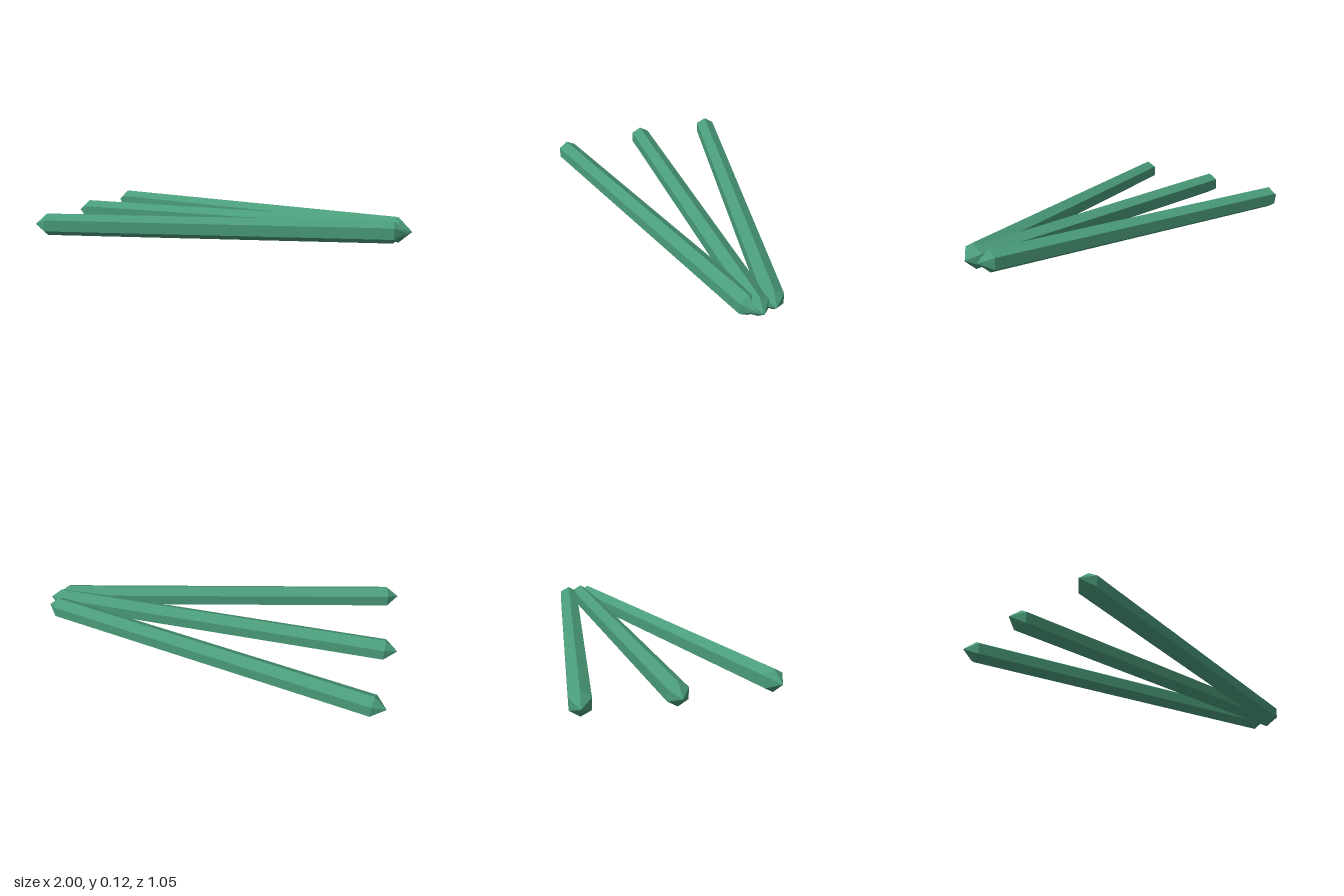
import * as THREE from 'three';

const RADIUS = 0.06;
const LENGTH = 2;
const TIP = 0.067;

// Six-sided rod along x, pointed at both ends, with an edge on top
function rodGeometry() {
  const half = LENGTH / 2;
  const profile = [
    [0, -half],
    [RADIUS, -half + TIP],
    [RADIUS, half - TIP],
    [0, half],
  ].map(([r, y]) => new THREE.Vector2(r, y));
  return new THREE.LatheGeometry(profile, 6).rotateY(Math.PI / 2).rotateZ(-Math.PI / 2);
}

export function createModel() {
  const group = new THREE.Group();
  group.name = 'fannedRods';

  const green = new THREE.MeshStandardMaterial({ color: 0x4a9c7a, flatShading: true });
  green.name = 'green';
  const geometry = rodGeometry();

  // Rods fan out from nearly touching ends: name, centre x, centre z, slope dz/dx
  const rods = [
    ['backRod', -0.002, -0.29, 0.2],
    ['middleRod', 0, -0.022, 0],
    ['frontRod', 0.005, 0.247, -0.25],
  ];
  for (const [name, x, z, slope] of rods) {
    const rod = new THREE.Mesh(geometry, green);
    rod.name = name;
    rod.position.set(x, RADIUS, z);
    rod.rotation.y = -Math.atan(slope);
    group.add(rod);
  }
  return group;
}
